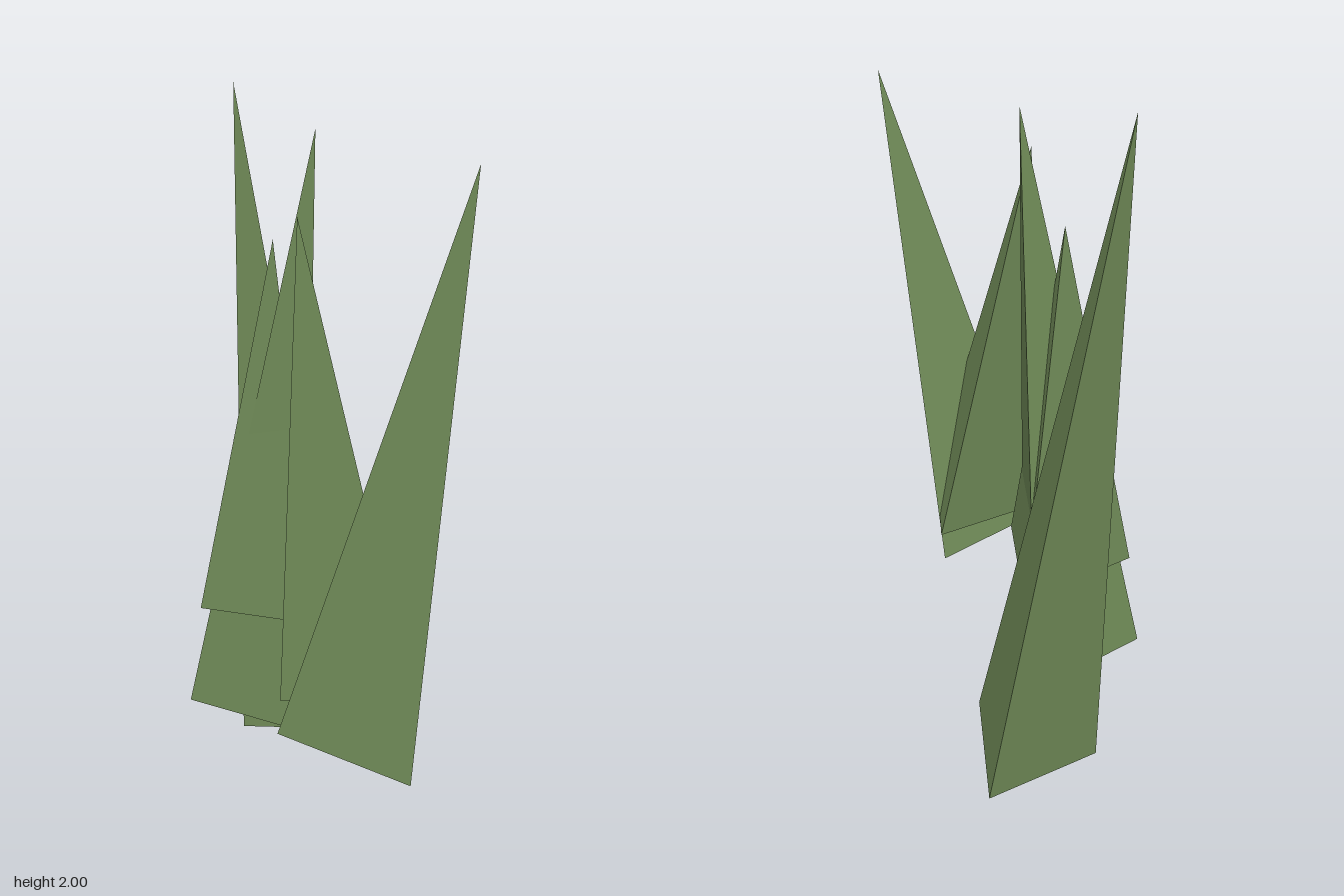
import * as THREE from 'three';

// Three-sided blade: triangular base (front left, front right, back) rising to a leaning tip
function bladeGeometry([left, right, back, tip]) {
  const faces = [
    [left, right, tip],
    [right, back, tip],
    [back, left, tip],
    [left, back, right], // underside
  ];
  const geometry = new THREE.BufferGeometry();
  geometry.setAttribute('position', new THREE.Float32BufferAttribute(faces.flat(2), 3));
  geometry.computeVertexNormals();
  return geometry;
}

export function createModel() {
  const group = new THREE.Group();
  group.name = 'grassTuft';

  const grassGreen = new THREE.MeshStandardMaterial({ color: 0x6f8a57, flatShading: true });
  grassGreen.name = 'grassGreen';

  // Corners of each blade: front left, front right, back, tip
  const blades = {
    tallBackBlade: [[-0.46, 0, -0.18], [-0.08, 0.053, -0.18], [-0.27, 0.027, -0.51], [-0.527, 2, -0.287]],
    middleTallBlade: [[-0.46, 0.195, 0.14], [-0.08, 0.155, 0.14], [-0.27, 0.175, -0.19], [-0.095, 1.855, 0.029]],
    middleShortBlade: [[-0.42, 0.482, 0.14], [-0.035, 0.482, 0.14], [-0.227, 0.482, -0.19], [-0.23, 1.55, 0.029]],
    frontLeaningBlade: [[0.025, 0.3, 0.51], [0.402, 0.223, 0.51], [0.214, 0.262, 0.18], [0.524, 1.765, 0.398]],
    frontShortBlade: [[0.005, 0.37, 0.455], [0.385, 0.42, 0.455], [0.195, 0.395, 0.12], [0.007, 1.63, 0.343]],
  };

  for (const [name, corners] of Object.entries(blades)) {
    const blade = new THREE.Mesh(bladeGeometry(corners), grassGreen);
    blade.name = name;
    group.add(blade);
  }
  return group;
}
